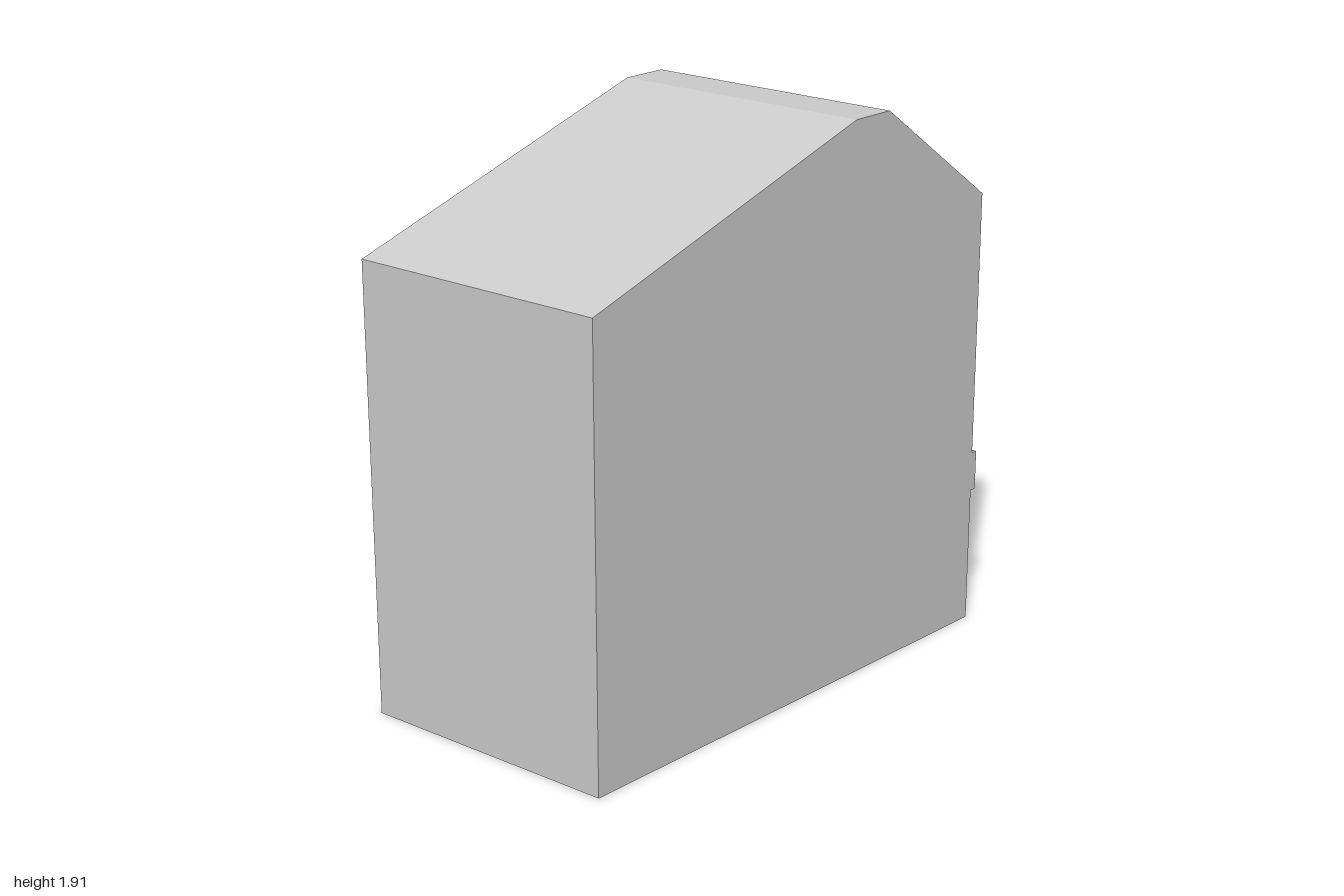
import * as THREE from 'three';

const WIDTH = 0.925, DEPTH = 1.819, EAVE = 1.545, RIDGE = 1.915, RECESS = 0.018;

// The plan is a slightly skewed parallelogram: local x runs along the
// window wall, local z points out of it, origin at the wall's ground corner.
const plan = new THREE.Matrix4().makeBasis(
  new THREE.Vector3(-0.984, 0, 0.178),
  new THREE.Vector3(0, 1, 0),
  new THREE.Vector3(-0.0901, 0, -0.9959)
).setPosition(0.373, 0, -0.977);

const material = new THREE.MeshStandardMaterial({ color: 0xcccccc });

function part(parent, name, geometry) {
  geometry.applyMatrix4(plan);
  const mesh = new THREE.Mesh(geometry, material);
  mesh.name = name;
  parent.add(mesh);
}

// Box given by its lower and upper corners in the wall frame
function block(parent, name, x0, x1, y0, y1, z0, z1) {
  const g = new THREE.BoxGeometry(x1 - x0, y1 - y0, z1 - z0);
  g.translate((x0 + x1) / 2, (y0 + y1) / 2, (z0 + z1) / 2);
  part(parent, name, g);
}

const windows = [
  { name: 'upperBlankWindow', x0: 0.163, x1: 0.38, y0: 1.11, y1: 1.425, cols: 1, rows: 1 },
  { name: 'upperPanedWindow', x0: 0.567, x1: 0.776, y0: 1.11, y1: 1.425, cols: 3, rows: 5, sill: true },
  { name: 'lowerWindowA', x0: 0.163, x1: 0.38, y0: 0.76, y1: 0.925, cols: 2, rows: 3 },
  { name: 'lowerWindowB', x0: 0.57, x1: 0.776, y0: 0.76, y1: 0.925, cols: 2, rows: 3 }
];

export function createModel() {
  const house = new THREE.Group();
  house.name = 'house';

  // Body with gabled roof: side profile (distance from window wall, height)
  const profile = new THREE.Shape([
    [RECESS, 0], [DEPTH, 0], [DEPTH, EAVE], [0.66, RIDGE], [0.499, RIDGE], [0, EAVE], [RECESS, EAVE]
  ].map(([d, y]) => new THREE.Vector2(d, y)));
  const body = new THREE.ExtrudeGeometry(profile, { depth: WIDTH, bevelEnabled: false });
  body.rotateY(Math.PI / 2);
  part(house, 'body', body);

  // Outer skin of the window wall, pierced by the window openings
  const wall = new THREE.Shape([
    new THREE.Vector2(0, 0), new THREE.Vector2(WIDTH, 0),
    new THREE.Vector2(WIDTH, EAVE), new THREE.Vector2(0, EAVE)
  ]);
  for (const w of windows) {
    wall.holes.push(new THREE.Path([
      new THREE.Vector2(w.x0, w.y0), new THREE.Vector2(w.x0, w.y1),
      new THREE.Vector2(w.x1, w.y1), new THREE.Vector2(w.x1, w.y0)
    ]));
  }
  const skin = new THREE.ExtrudeGeometry(wall, { depth: RECESS, bevelEnabled: false });
  skin.translate(0, 0, -RECESS);
  part(house, 'windowWall', skin);

  // Projecting band above the ground floor
  block(house, 'band', 0, WIDTH, 0.48, 0.62, -0.005, 0.023);

  // Glazing bars and sill
  const half = 0.004;
  for (const w of windows) {
    const group = new THREE.Group();
    group.name = w.name;
    for (let i = 1; i < w.cols; i++) {
      const x = w.x0 + (w.x1 - w.x0) * i / w.cols;
      block(group, 'verticalBar', x - half, x + half, w.y0, w.y1, -RECESS, -0.007);
    }
    for (let i = 1; i < w.rows; i++) {
      const y = w.y0 + (w.y1 - w.y0) * i / w.rows;
      block(group, 'horizontalBar', w.x0, w.x1, y - half, y + half, -RECESS, -0.008);
    }
    if (w.sill) block(group, 'sill', w.x0 - 0.01, w.x1 + 0.01, w.y0 - 0.02, w.y0, -RECESS, 0.012);
    house.add(group);
  }
  return house;
}
